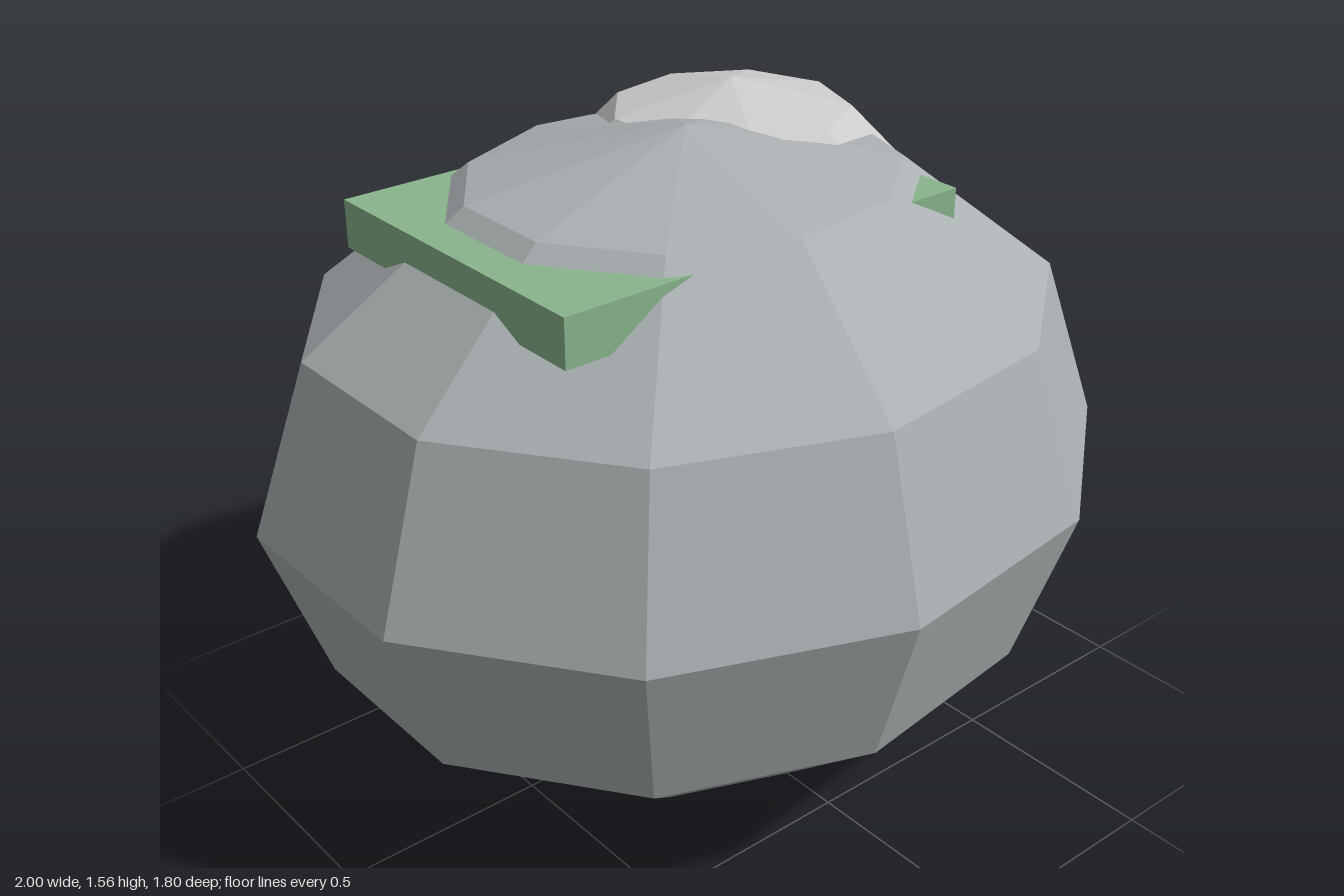
import * as THREE from 'three';

const material = (color) => new THREE.MeshStandardMaterial({ color, flatShading: true });

// Faceted ball with one corner line facing +x
function ball(name, radius, sides, rings, scale, position, color) {
  const geometry = new THREE.SphereGeometry(radius, sides, rings, Math.PI);
  geometry.scale(...scale);
  const mesh = new THREE.Mesh(geometry, material(color));
  mesh.name = name;
  mesh.position.set(...position);
  return mesh;
}

export function createModel() {
  const group = new THREE.Group();
  group.name = 'boulder';

  // Large squashed rock
  group.add(ball('mainRock', 1.0207, 11, 6, [1, 0.756, 0.89], [-0.0207, 0.772, 0], 0xaab0b2));

  // Smaller rock sunk into the top, behind and to the left
  group.add(ball('smallRock', 0.473, 9, 5, [1, 0.74, 1], [0.23, 1.215, -0.14], 0xcccccc));

  // Moss slab whose corners poke out of the rock
  const moss = new THREE.Mesh(new THREE.BoxGeometry(1.055, 0.11, 0.79), material(0x88b48c));
  moss.name = 'mossSlab';
  moss.position.set(-0.1125, 1.353, 0);
  group.add(moss);

  return group;
}
